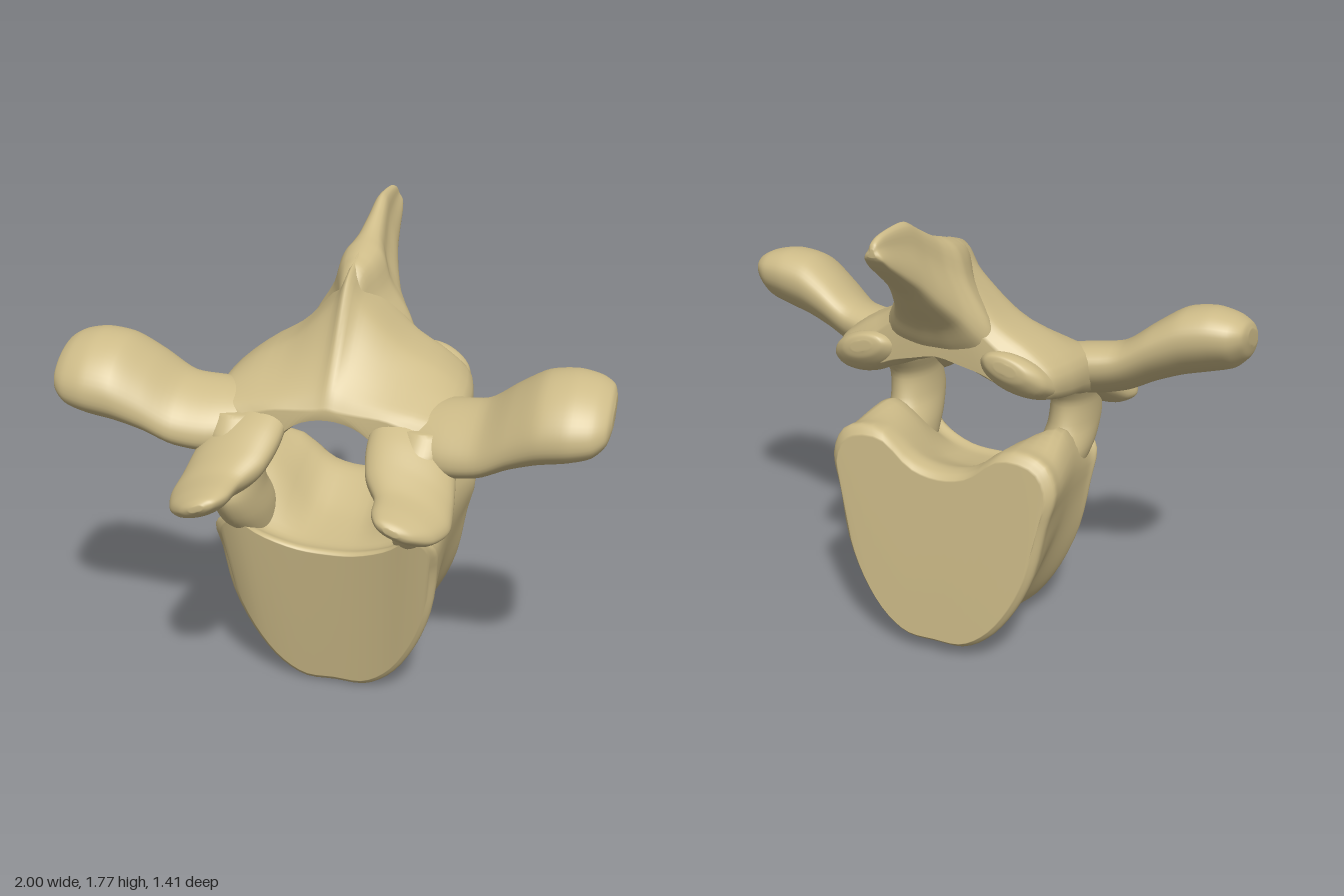
import * as THREE from 'three';

const bone = new THREE.MeshStandardMaterial({ color: 0xcdbb88 });
bone.name = 'bone';

// Smooth closed skin through rings of control points, capped at both ends
function loft(rings, around = 48, steps = 5) {
  const fine = rings.map((r) => {
    const c = new THREE.CatmullRomCurve3(r, true, 'centripetal');
    return Array.from({ length: around }, (_, i) => c.getPoint(i / around));
  });
  const rows = (rings.length - 1) * steps + 1;
  const pos = [];
  const idx = [];
  const lines = fine[0].map((_, i) => new THREE.CatmullRomCurve3(fine.map((r) => r[i]), false, 'catmullrom', 0.4));
  for (let j = 0; j < rows; j++) {
    for (const line of lines) pos.push(...line.getPoint(j / (rows - 1)).toArray());
  }
  for (let j = 0; j < rows - 1; j++) {
    for (let i = 0; i < around; i++) {
      const a = j * around + i;
      const b = j * around + (i + 1) % around;
      idx.push(a, b, b + around, a, b + around, a + around);
    }
  }
  // Cap strips join the upper edge to the lower one, so notched ends stay open
  const q = around / 4;
  for (const [start, flip] of [[0, true], [(rows - 1) * around, false]]) {
    const at = (k) => start + (k + around) % around;
    for (let i = 0; i < around / 2; i++) {
      const [a, b, c, d] = [at(q + i), at(q + i + 1), at(q - i - 1), at(q - i)];
      for (const t of [[a, b, c], [a, c, d]]) {
        if (new Set(t).size === 3) idx.push(...(flip ? [t[0], t[2], t[1]] : t));
      }
    }
  }
  // Turn the skin outward if its signed volume is negative
  const p = (k) => new THREE.Vector3().fromArray(pos, k * 3);
  let volume = 0;
  for (let k = 0; k < idx.length; k += 3) volume += p(idx[k]).dot(p(idx[k + 1]).cross(p(idx[k + 2])));
  if (volume < 0) idx.reverse();
  const g = new THREE.BufferGeometry();
  g.setAttribute('position', new THREE.Float32BufferAttribute(pos, 3));
  g.setIndex(idx);
  g.computeVertexNormals();
  return g;
}

// Symmetric ring from a half outline running between the two centre points
function symmetric(half, zAt) {
  const other = half.slice(1, -1).reverse().map(([x, y]) => [-x, y]);
  return [...half, ...other].map(([x, y]) => new THREE.Vector3(x, y, zAt(y)));
}

// Tilted oval: place(u, v) puts its two axes into space
function oval(ru, rv, tilt, place) {
  return Array.from({ length: 12 }, (_, i) => {
    const a = (i / 12) * Math.PI * 2;
    const u = ru * Math.cos(a);
    const v = rv * Math.sin(a);
    return place(u * Math.cos(tilt) - v * Math.sin(tilt), u * Math.sin(tilt) + v * Math.cos(tilt));
  });
}

export function createModel() {
  const group = new THREE.Group();
  group.name = 'vertebra';
  const add = (name, geometry) => {
    const m = new THREE.Mesh(geometry, bone);
    m.name = name;
    group.add(m);
  };

  // Vertebral body: heart-shaped outlines from the front rim to the back rim
  const front = [[0, 0.005], [0.12, 0.005], [0.22, 0.07], [0.31, 0.2], [0.38, 0.38], [0.41, 0.58],
    [0.41, 0.7], [0.35, 0.75], [0.25, 0.68], [0.12, 0.63], [0, 0.62]];
  const middle = [[0, 0.05], [0.11, 0.055], [0.2, 0.12], [0.28, 0.24], [0.35, 0.4], [0.4, 0.58],
    [0.42, 0.76], [0.36, 0.87], [0.25, 0.82], [0.12, 0.68], [0, 0.66]];
  const back = [[0, 0.05], [0.12, 0.055], [0.22, 0.12], [0.31, 0.24], [0.38, 0.4], [0.42, 0.6],
    [0.45, 0.75], [0.4, 0.85], [0.26, 0.87], [0.12, 0.77], [0, 0.745]];
  const inset = (half, s) => half.map(([x, y]) => [x * s, 0.42 + (y - 0.42) * s]);
  // outline, z, lean, flare near the top
  const body = [
    [inset(front, 0.94), 0.203, 0.17, 0.3], [front, 0.18, 0.17, 0.3], [inset(front, 0.985), 0.13, 0.16, 0.2],
    [middle, -0.03, 0.12, 0], [inset(back, 0.985), -0.2, 0.08, 0],
    [back, -0.265, 0.07, 0], [inset(back, 0.93), -0.3, 0.07, 0],
  ];
  add('vertebralBody', loft(body.map(([h, z, lean, flare]) =>
    symmetric(h, (y) => z + lean * y + flare * Math.max(0, y - 0.58))), 64));

  // Lamina: roof over the canal, rising into the ridge
  // z, ridge height, shoulder height, eave x, eave top, eave bottom, canal roof
  const lamina = [
    [0.29, 1.16, 1.14, 0.34, 1.1, 1.01, 1.125],
    [0.25, 1.23, 1.18, 0.42, 1.13, 0.99, 1.125],
    [0.14, 1.38, 1.25, 0.46, 1.15, 1.01, 1.13],
    [0.02, 1.55, 1.32, 0.46, 1.16, 1.05, 1.15],
    [-0.08, 1.6, 1.34, 0.45, 1.17, 1.07, 1.17],
    [-0.19, 1.62, 1.34, 0.42, 1.18, 1.1, 1.19],
    [-0.25, 1.5, 1.28, 0.33, 1.2, 1.15, 1.21],
  ];
  add('lamina', loft(lamina.map(([z, p, s, x, t, b, c]) => symmetric([
    [0, p], [0.04, p - (p - s) * 0.3], [0.1, s + (p - s) * 0.42], [0.21, s], [x * 0.8, (s + t) / 2], [x, t],
    [x * 0.97, b], [x * 0.7, b], [0.18, b + (c - b) * 0.35], [0.1, c - 0.02], [0, c],
  ], () => z)), 64));

  // Rear spine: z, top, bottom, half width
  const spine = [
    [0.04, 1.35, 1.22, 0.05], [-0.05, 1.57, 1.2, 0.12], [-0.13, 1.613, 1.2, 0.19], [-0.21, 1.64, 1.2, 0.22],
    [-0.26, 1.655, 1.26, 0.18], [-0.31, 1.675, 1.34, 0.135],
    [-0.4, 1.72, 1.43, 0.095], [-0.48, 1.76, 1.51, 0.07], [-0.57, 1.765, 1.58, 0.055],
    [-0.65, 1.76, 1.64, 0.045], [-0.69, 1.745, 1.68, 0.035], [-0.703, 1.725, 1.7, 0.015],
  ];
  add('rearSpine', loft(spine.map(([z, t, b, w]) => {
    const h = t - b;
    return symmetric([[0, t], [w * 0.3, t - h * 0.07], [w * 0.5, t - h * 0.35], [w * 0.9, b + h * 0.3],
      [w * 0.9, b + h * 0.1], [w * 0.4, b + h * 0.01], [0, b]], () => z);
  })));

  for (const [side, s] of [['left', 1], ['right', -1]]) {
    // Pedicle: y, centre x, centre z, half sizes
    const pedicle = [
      [0.5, 0.29, 0.16, 0.04, 0.05], [0.62, 0.305, 0.17, 0.075, 0.12], [0.74, 0.325, 0.22, 0.095, 0.18],
      [0.84, 0.335, 0.28, 0.09, 0.17], [0.95, 0.34, 0.27, 0.09, 0.145],
      [1.05, 0.34, 0.22, 0.115, 0.165], [1.12, 0.35, 0.18, 0.1, 0.14],
    ];
    add(side + 'Pedicle', loft(pedicle.map(([y, x, z, rx, rz]) =>
      oval(rx, rz, 0, (u, v) => new THREE.Vector3(s * (x + u), y, z + v)))));

    // Superior facet: z, centre x, centre y, half sizes
    const facet = [
      [0.703, 0.34, 0.925, 0.025, 0.012], [0.68, 0.345, 0.92, 0.07, 0.03], [0.62, 0.36, 0.91, 0.115, 0.05],
      [0.53, 0.37, 0.915, 0.14, 0.06], [0.44, 0.34, 0.945, 0.165, 0.08],
      [0.34, 0.32, 1.0, 0.17, 0.09], [0.24, 0.31, 1.05, 0.16, 0.08], [0.1, 0.32, 1.09, 0.12, 0.05],
    ];
    add(side + 'SuperiorFacet', loft(facet.map(([z, x, y, rx, ry]) =>
      oval(rx, ry, -0.38, (u, v) => new THREE.Vector3(s * (x + u), y + v, z)))));

    // Transverse wing: x, centre z, centre y, half sizes
    const wing = [
      [0.22, 0.17, 1.1, 0.09, 0.05], [0.4, 0.2, 1.08, 0.17, 0.095], [0.55, 0.23, 1.1, 0.175, 0.095],
      [0.66, 0.25, 1.165, 0.185, 0.11], [0.76, 0.27, 1.215, 0.195, 0.125], [0.86, 0.28, 1.235, 0.195, 0.12],
      [0.94, 0.28, 1.24, 0.175, 0.1], [0.985, 0.28, 1.25, 0.135, 0.065], [1, 0.28, 1.26, 0.075, 0.03],
    ];
    add(side + 'TransverseWing', loft(wing.map(([x, z, y, rz, ry]) =>
      oval(rz, ry, -0.42, (u, v) => new THREE.Vector3(s * x, y + v, z + u)))));

    // Inferior facet: z, centre x, centre y, half sizes
    const inferior = [
      [0.1, 0.32, 1.11, 0.08, 0.04], [-0.05, 0.31, 1.13, 0.13, 0.065], [-0.16, 0.3, 1.155, 0.135, 0.075],
      [-0.24, 0.29, 1.19, 0.125, 0.07], [-0.28, 0.28, 1.215, 0.085, 0.045], [-0.29, 0.28, 1.22, 0.04, 0.02],
    ];
    add(side + 'InferiorFacet', loft(inferior.map(([z, x, y, rx, ry]) =>
      oval(rx, ry, -0.3, (u, v) => new THREE.Vector3(s * (x + u), y + v, z)))));
  }
  return group;
}
